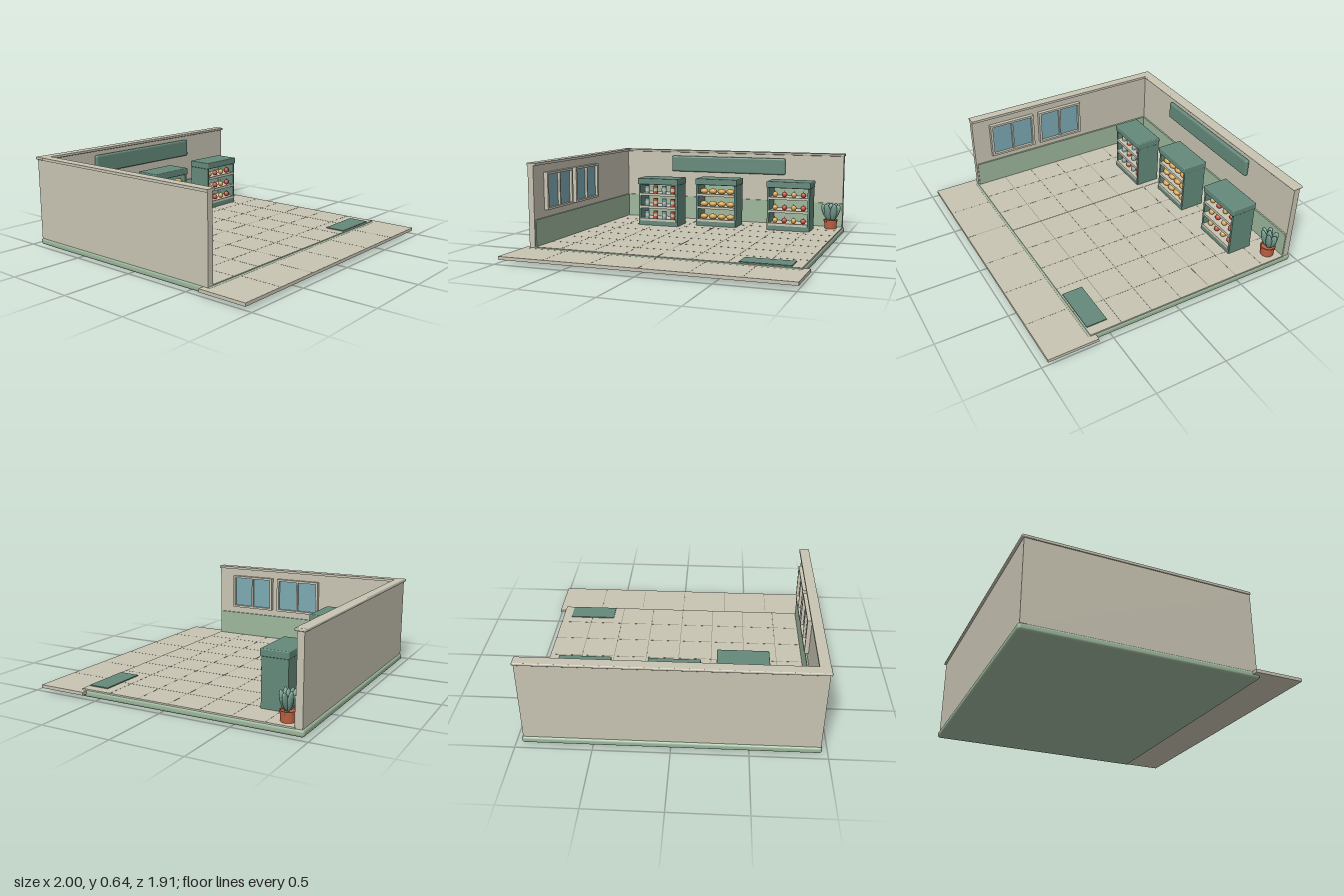
import * as THREE from 'three';
import { RoundedBoxGeometry } from 'three/addons/geometries/RoundedBoxGeometry.js';

const paint = (name, color) => {
  const m = new THREE.MeshStandardMaterial({ color });
  m.name = name;
  return m;
};

export function createModel() {
  const cream = paint('cream', 0xc8c4b3);
  const sage = paint('sage', 0x9cb69b);
  const teal = paint('teal', 0x64897a);
  const glass = paint('window blue', 0x7ba8b2);
  const joint = paint('joint grey', 0x8a897c);
  const clay = paint('clay', 0xbd6140);
  const red = paint('red', 0xc4513a);
  const gold = paint('gold', 0xd6a552);
  const leafGreen = paint('leaf green', 0x71998a);

  const root = new THREE.Group();
  root.name = 'shopInterior';

  const add = (parent, name, geometry, material, x = 0, y = 0, z = 0) => {
    const mesh = new THREE.Mesh(geometry, material);
    mesh.name = name;
    mesh.position.set(x, y, z);
    parent.add(mesh);
    return mesh;
  };
  const group = (name, x = 0, y = 0, z = 0) => {
    const g = new THREE.Group();
    g.name = name;
    g.position.set(x, y, z);
    root.add(g);
    return g;
  };
  // Box given by its low and high limits on each axis; r rounds the edges
  const block = (parent, name, mat, [x0, x1], [y0, y1], [z0, z1], r = 0) => {
    const size = [x1 - x0, y1 - y0, z1 - z0];
    const geo = r ? new RoundedBoxGeometry(...size, 3, r) : new THREE.BoxGeometry(...size);
    return add(parent, name, geo, mat, (x0 + x1) / 2, (y0 + y1) / 2, (z0 + z1) / 2);
  };

  // Base, floor and pavement
  block(root, 'base', sage, [-0.962, 0.962], [0, 0.048], [-0.957, 0.66], 0.018);
  block(root, 'floor', cream, [-0.955, 0.955], [0.04, 0.054], [-0.9, 0.64]);
  block(root, 'pavement', cream, [-1, 1], [0.022, 0.044], [0.603, 0.955]);
  for (let i = -3; i <= 3; i++) {
    const x = i * 0.24;
    block(root, 'floorJoint', joint, [x - 0.002, x + 0.002], [0.053, 0.0546], [-0.895, 0.64]);
  }
  for (let i = 0; i < 6; i++) {
    const z = -0.71 + i * 0.225;
    block(root, 'floorCrossJoint', joint, [-0.905, 0.955], [0.053, 0.0546], [z - 0.002, z + 0.002]);
  }
  for (let i = -2; i <= 2; i++) {
    const x = i / 3;
    block(root, 'pavementJoint', joint, [x - 0.0015, x + 0.0015], [0.043, 0.0445], [0.66, 0.955]);
  }

  // Walls with caps, wainscot and rails
  block(root, 'backWall', cream, [-0.955, 0.952], [0.046, 0.618], [-0.945, -0.9]);
  block(root, 'leftWall', cream, [-0.955, -0.912], [0.046, 0.618], [-0.9, 0.64]);
  block(root, 'backWallCap', cream, [-0.965, 0.96], [0.617, 0.636], [-0.96, -0.885], 0.006);
  block(root, 'leftWallCap', cream, [-0.962, -0.892], [0.617, 0.635], [-0.89, 0.642]);
  block(root, 'backWainscot', sage, [-0.912, 0.95], [0.05, 0.23], [-0.9, -0.893]);
  block(root, 'leftWainscot', sage, [-0.912, -0.905], [0.05, 0.23], [-0.893, 0.63]);
  block(root, 'backRail', sage, [-0.912, 0.95], [0.228, 0.242], [-0.9, -0.888]);
  block(root, 'leftRail', sage, [-0.912, -0.9], [0.228, 0.242], [-0.888, 0.63]);

  // Wall sign
  block(root, 'signBoard', teal, [-0.492, 0.488], [0.456, 0.588], [-0.9, -0.866], 0.014);

  // Two framed windows on the left wall
  for (const z of [0.324, -0.085]) {
    const w = group('window', 0, 0, z);
    const depth = [-0.912, -0.882];
    for (const s of [-1, 1]) {
      block(w, 'windowJamb', cream, [...depth], [0.293, 0.56], [s * 0.172 - 0.009, s * 0.172 + 0.009]);
      const y = 0.4265 + s * 0.1255;
      block(w, 'windowRail', cream, depth, [y - 0.008, y + 0.008], [-0.163, 0.163]);
    }
    block(w, 'windowMullion', cream, [-0.912, -0.885], [0.309, 0.544], [-0.006, 0.006]);
    block(w, 'windowPane', glass, [-0.912, -0.903], [0.309, 0.544], [-0.163, 0.163]);
  }

  // Goods
  const canGeo = new THREE.CylinderGeometry(0.018, 0.018, 0.062, 16);
  const labelGeo = new THREE.CylinderGeometry(0.0186, 0.0186, 0.024, 16);
  const loafGeo = new THREE.SphereGeometry(1, 16, 10).scale(0.034, 0.022, 0.028);
  const fruitGeo = new THREE.SphereGeometry(0.021, 16, 12);
  const stemGeo = new THREE.CylinderGeometry(0.002, 0.002, 0.012, 6);
  const goods = {
    cans(g, x, y, z, i) {
      add(g, 'can', canGeo, i % 2 ? red : glass, x, y + 0.031, z);
      add(g, 'canLabel', labelGeo, cream, x, y + 0.031, z);
    },
    loaves(g, x, y, z) {
      add(g, 'loaf', loafGeo, gold, x, y + 0.022, z);
    },
    fruit(g, x, y, z, i) {
      add(g, 'fruit', fruitGeo, i % 2 ? red : gold, x, y + 0.021, z);
      add(g, 'fruitStem', stemGeo, teal, x, y + 0.045, z);
    },
  };

  // Display shelves
  const shelfUnit = (x, z, stock) => {
    const g = group('shelfUnit', x, 0, z);
    for (const s of [-1, 1]) {
      block(g, 'shelfSide', teal, [s * 0.159 - 0.008, s * 0.159 + 0.008], [0.054, 0.39], [-0.093, 0.088]);
    }
    block(g, 'shelfBack', teal, [-0.152, 0.152], [0.054, 0.39], [-0.093, -0.083]);
    block(g, 'shelfLining', sage, [-0.151, 0.151], [0.09, 0.386], [-0.083, -0.078]);
    block(g, 'shelfPlinth', teal, [-0.164, 0.164], [0.054, 0.09], [-0.09, 0.092]);
    block(g, 'shelfHeader', teal, [-0.173, 0.173], [0.384, 0.434], [-0.097, 0.097], 0.007);
    for (const y of [0.106, 0.208, 0.31]) {
      block(g, 'shelfBoard', cream, [-0.151, 0.151], [y - 0.012, y], [-0.078, 0.085]);
      block(g, 'shelfLip', cream, [-0.154, 0.154], [y - 0.016, y + 0.004], [0.085, 0.095]);
      for (let i = 0; i < 4; i++) goods[stock](g, (i - 1.5) * 0.074, y, 0.05, i);
    }
  };
  shelfUnit(-0.452, -0.548, 'cans');
  shelfUnit(-0.003, -0.668, 'loaves');
  shelfUnit(0.583, -0.668, 'fruit');

  // Potted plant
  const plant = group('pottedPlant', 0.873, 0.054, -0.818);
  const potProfile = [[0, 0], [0.046, 0], [0.05, 0.056], [0.054, 0.058], [0.054, 0.07], [0.046, 0.07], [0.044, 0.062], [0, 0.062]]
    .map(([r, y]) => new THREE.Vector2(r, y));
  const potGeo = new THREE.LatheGeometry(potProfile, 24).toNonIndexed();
  potGeo.computeVertexNormals();
  add(plant, 'pot', potGeo, clay);
  const leafGeo = new THREE.SphereGeometry(1, 12, 10).scale(0.027, 0.068, 0.018).translate(0, 0.066, 0);
  // Each leaf: offset x, offset z, lean about z, lean about x
  for (const [x, z, lean, tip] of [
    [0, 0, 0, 0], [-0.012, 0, 0.42, 0], [0.012, 0, -0.42, 0],
    [-0.012, 0.01, 0.16, 0.2], [0.014, 0.01, -0.16, 0.2],
    [-0.012, -0.01, 0.16, -0.2], [0.014, -0.01, -0.16, -0.2],
  ]) {
    add(plant, 'leaf', leafGeo, leafGreen, x, 0.066, z).rotation.set(tip, 0, lean);
  }

  // Door mat
  block(root, 'doorMat', teal, [0.548, 0.888], [0.052, 0.061], [0.485, 0.63]);

  return root;
}
